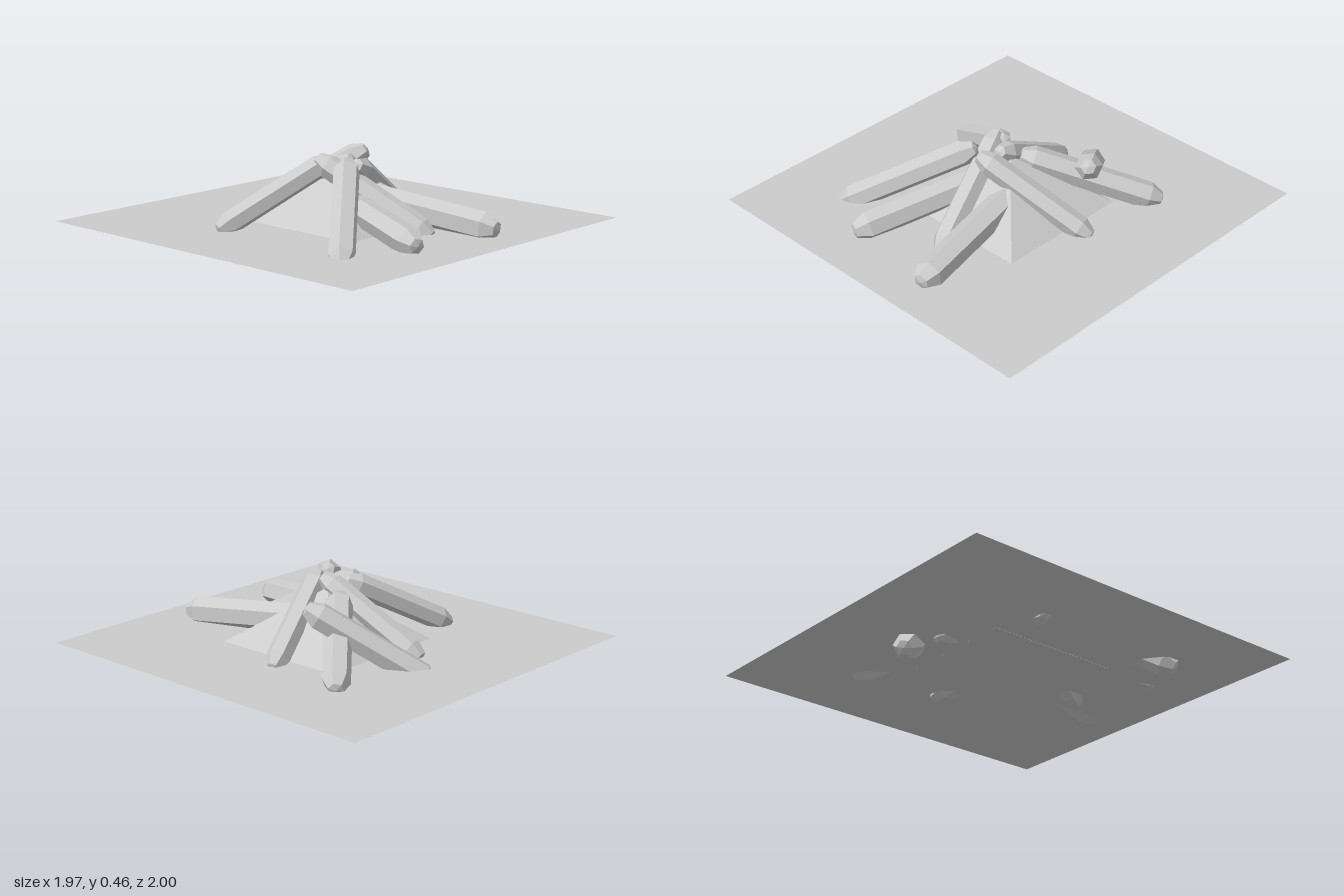
import * as THREE from 'three';

const material = new THREE.MeshStandardMaterial({ color: 0xcccccc, flatShading: true });
const groundMaterial = new THREE.MeshStandardMaterial({ color: 0xcccccc, side: THREE.DoubleSide });

// Six-sided log with tapered, blunt ends, laid from its low end to its high end
function log(low, high, radius, turn = 0) {
  const a = new THREE.Vector3(...low);
  const b = new THREE.Vector3(...high);
  const length = a.distanceTo(b);
  const h = length / 2;
  const profile = [
    [0, -h], [radius * 0.55, -h + 0.01], [radius, -h + 0.075],
    [radius, h - 0.075], [radius * 0.55, h - 0.01], [0, h],
  ].map(([x, y]) => new THREE.Vector2(x, y));
  const geometry = new THREE.LatheGeometry(profile, 6, turn);
  const mesh = new THREE.Mesh(geometry, material);
  mesh.position.copy(a).add(b).multiplyScalar(0.5);
  mesh.quaternion.setFromUnitVectors(new THREE.Vector3(0, 1, 0), b.sub(a).normalize());
  return mesh;
}

export function createModel() {
  const group = new THREE.Group();
  const groundY = 0.13;

  // Flat ground sheet
  const ground = new THREE.Mesh(new THREE.PlaneGeometry(1.97, 2), groundMaterial);
  ground.rotation.x = -Math.PI / 2;
  ground.position.y = groundY;
  ground.name = 'ground';
  group.add(ground);

  // Four-sided mound under the logs
  const moundHeight = 0.28;
  const mound = new THREE.Mesh(
    new THREE.ConeGeometry(0.37 * Math.SQRT2, moundHeight, 4, 1, false, Math.PI / 4), material);
  mound.position.set(0.04, groundY - 0.004 + moundHeight / 2, 0.03);
  mound.name = 'mound';
  group.add(mound);

  // Logs leaning on each other: low end, high end, radius
  const logs = [
    ['frontRightLog', [-0.61, 0.09, 0.59], [-0.08, 0.455, 0.14], 0.066],
    ['frontInnerRightLog', [-0.295, 0.165, 0.78], [-0.07, 0.26, 0.10], 0.072],
    ['frontMiddleLog', [0.075, 0.11, 0.56], [-0.11, 0.455, -0.04], 0.062],
    ['frontLeftLog', [0.235, 0.165, 0.835], [0.11, 0.25, 0.06], 0.075],
    ['leftLog', [0.52, 0.115, -0.05], [-0.05, 0.44, 0.17], 0.062],
    ['backLeftLog', [0.575, 0.135, -0.515], [0.03, 0.38, -0.04], 0.07],
    ['backCrossingLog', [-0.005, 0.045, -0.635], [0.395, 0.42, -0.15], 0.07],
    ['backLog', [-0.075, 0.12, -0.49], [0.02, 0.45, 0.09], 0.06],
    ['backRightLog', [-0.59, 0.13, -0.25], [-0.035, 0.44, -0.015], 0.06],
  ];
  logs.forEach(([name, low, high, radius], i) => {
    const mesh = log(low, high, radius, i * 0.4);
    mesh.name = name;
    group.add(mesh);
  });

  return group;
}
